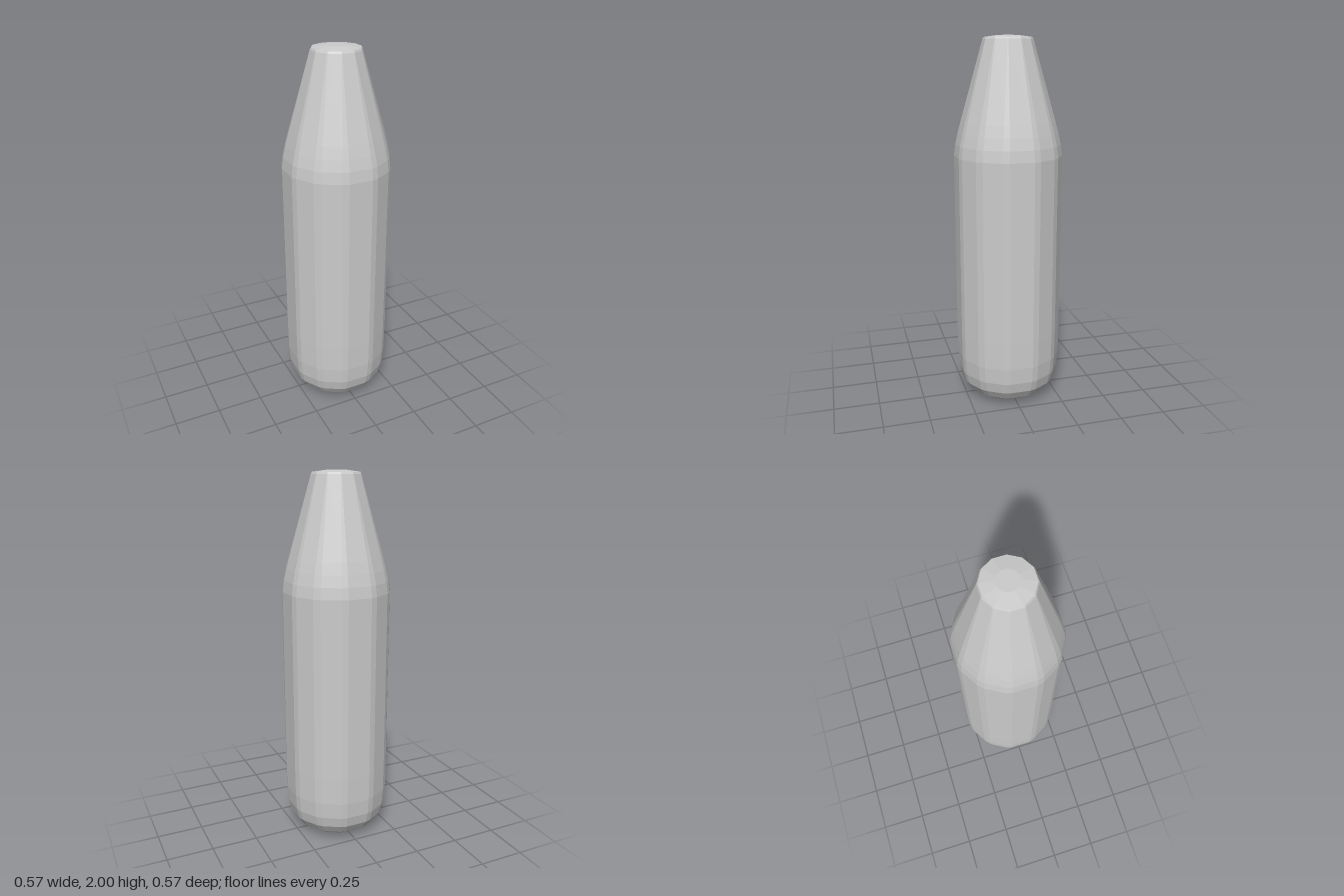
import * as THREE from 'three';

// Facet corner angles per quadrant: wide flats face the four axes.
// The many-sided body closes pairwise into a twelve-sided neck.
const BODY = [13, 20, 41, 49, 70, 77];
const NECK = [14, 16, 44, 46, 74, 76];

// Lathes a profile of [radius, height] with the irregular facet angles.
function facetedLathe(profile, neckBlend) {
  const points = profile.map(([r, y]) => new THREE.Vector2(r, y));
  const sides = BODY.length * 4;
  const geometry = new THREE.LatheGeometry(points, sides);
  const pos = geometry.attributes.position;
  for (let s = 0; s <= sides; s++) {
    const k = s % sides;
    const quadrant = Math.floor(k / BODY.length) * 90;
    const i = k % BODY.length;
    profile.forEach(([r, y], j) => {
      const degrees = quadrant + THREE.MathUtils.lerp(BODY[i], NECK[i], neckBlend(y));
      const a = THREE.MathUtils.degToRad(degrees);
      pos.setXYZ(s * profile.length + j, Math.sin(a) * r, y, Math.cos(a) * r);
    });
  }
  geometry.computeVertexNormals();
  return geometry;
}

export function createModel() {
  const group = new THREE.Group();
  group.name = 'bottle';
  const material = new THREE.MeshStandardMaterial({ color: 0xcccccc, flatShading: true });

  const add = (name, profile, neckBlend) => {
    const mesh = new THREE.Mesh(facetedLathe(profile, neckBlend), material);
    mesh.name = name;
    group.add(mesh);
  };

  // Rounded base and straight wall
  add('body', [
    [0, 0], [0.13, 0], [0.185, 0.018], [0.235, 0.052], [0.266, 0.1],
    [0.281, 0.16], [0.288, 0.25], [0.29, 0.4], [0.29, 1.38],
  ], () => 0);

  // Curved shoulder running into the tapered neck
  add('shoulder', [
    [0.29, 1.38], [0.282, 1.44], [0.268, 1.5], [0.252, 1.56], [0.132, 1.98],
  ], (y) => THREE.MathUtils.clamp((y - 1.5) / 0.48, 0, 1));

  // Slightly domed cap with a bevelled rim
  add('cap', [
    [0.132, 1.98], [0.126, 1.99], [0.055, 2], [0, 2],
  ], () => 1);

  return group;
}
